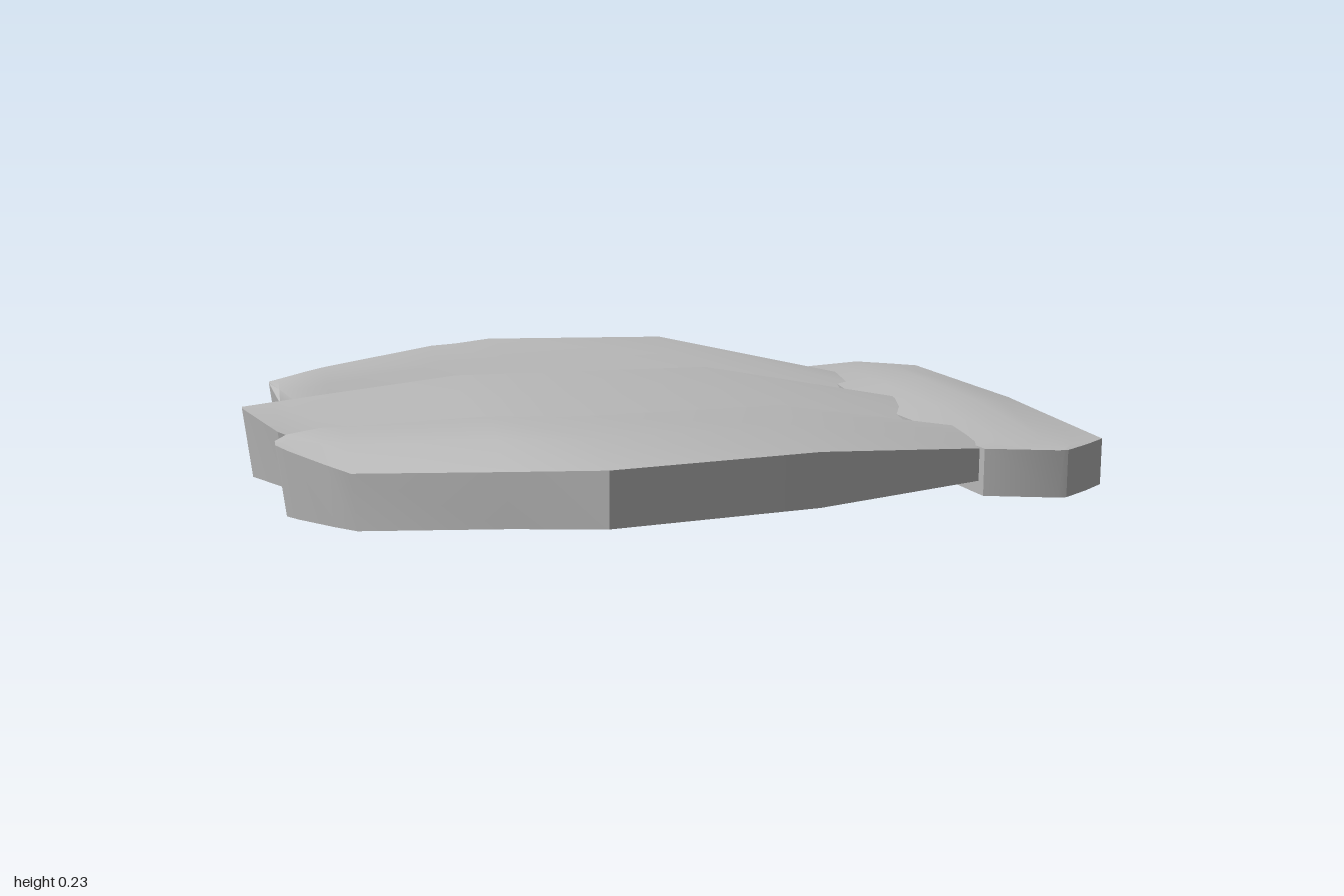
import * as THREE from 'three';
import { toCreasedNormals } from 'three/addons/utils/BufferGeometryUtils.js';

// Loft along x. Each station: [x, zA, zCrest, zB, yA, yCrest, yB, yBottom, bottomShift]
function loft(stations) {
  const pos = [], index = [];
  for (const [x, a, c, b, ya, yc, yb, y0, shift = 0] of stations) {
    // ring: bottom edge, top edge, swelling, crest, swelling, top edge, bottom edge
    pos.push(
      x + shift, y0, a,
      x, ya, a,
      x, ya + (yc - ya) * 0.62, (a + c) / 2,
      x, yc, c,
      x, yb + (yc - yb) * 0.62, (b + c) / 2,
      x, yb, b,
      x + shift, y0, b
    );
  }
  const n = 7, last = (stations.length - 1) * n;
  for (let i = 0; i < last; i += n) {
    for (let j = 0; j < n; j++) {
      const k = (j + 1) % n;
      index.push(i + j, i + k, i + n + k, i + j, i + n + k, i + n + j);
    }
  }
  // end caps
  for (let j = 1; j < n - 1; j++) {
    index.push(0, j + 1, j, last, last + j, last + j + 1);
  }
  const geo = new THREE.BufferGeometry();
  geo.setAttribute('position', new THREE.Float32BufferAttribute(pos, 3));
  geo.setIndex(index);
  return toCreasedNormals(geo, 0.6);
}

// Swap the two long edges so a lobe can be mirrored across z
const mirrorZ = (list) => list.map(([x, a, c, b, ya, yc, yb, ...rest]) =>
  [x, -b, -c, -a, yb, yc, ya, ...rest]);

export function createModel() {
  const group = new THREE.Group();
  const grey = new THREE.MeshStandardMaterial({ color: 0xb8b8b8 });
  grey.name = 'plain grey';

  const add = (name, geo) => {
    const mesh = new THREE.Mesh(geo, grey);
    mesh.name = name;
    group.add(mesh);
  };

  // Central lobe with a pointed tip
  add('middleLobe', loft([
    [-1.0, -0.012, 0, 0.012, 0.174, 0.175, 0.174, 0.004, 0.02],
    [-0.92, -0.185, 0, 0.185, 0.145, 0.185, 0.145, 0.008, 0.02],
    [-0.83, -0.23, 0, 0.23, 0.115, 0.196, 0.115, 0.015, 0.015],
    [-0.48, -0.305, 0, 0.305, 0.14, 0.235, 0.14, 0.048, 0.01],
    [-0.29, -0.32, 0, 0.32, 0.15, 0.235, 0.15, 0.065],
    [0.16, -0.31, 0, 0.31, 0.15, 0.235, 0.15, 0.065],
    [0.67, -0.24, 0, 0.24, 0.105, 0.14, 0.105, 0.045],
  ]));

  // Broad outer lobes, mirrored front and back
  const outer = [
    [-0.93, 0.40, 0.425, 0.45, 0.165, 0.168, 0.165, 0.004, 0.02],
    [-0.905, 0.27, 0.40, 0.495, 0.135, 0.178, 0.16, 0.006, 0.02],
    [-0.83, 0.23, 0.42, 0.605, 0.115, 0.194, 0.148, 0.012, 0.015],
    [-0.78, 0.242, 0.45, 0.67, 0.118, 0.2, 0.14, 0.016, 0.01],
    [-0.48, 0.305, 0.57, 0.85, 0.14, 0.232, 0.167, 0.048, 0.005],
    [-0.29, 0.32, 0.63, 0.965, 0.15, 0.235, 0.185, 0.065],
    [0.18, 0.31, 0.59, 0.88, 0.15, 0.235, 0.185, 0.065],
    [0.66, 0.24, 0.43, 0.615, 0.105, 0.14, 0.12, 0.045],
  ];
  add('frontLobe', loft(outer));
  add('backLobe', loft(mirrorZ(outer)));

  // Cross bar joining the lobes, lofted end to end and turned across them
  const half = [
    [-0.7, 0.81, 0.82, 0.83, 0.125, 0.126, 0.125, 0.015],
    [-0.645, 0.65, 0.82, 0.905, 0.125, 0.128, 0.125, 0.015],
    [-0.59, 0.645, 0.82, 0.97, 0.125, 0.132, 0.125, 0.015],
    [-0.18, 0.615, 0.82, 0.99, 0.125, 0.157, 0.125, 0.015],
  ];
  const otherHalf = half.map(([s, ...rest]) => [-s, ...rest]).reverse();
  const centre = [0, 0.6, 0.82, 1.0, 0.125, 0.158, 0.125, 0.015];
  add('crossBar', loft([...half, centre, ...otherHalf]).rotateY(Math.PI / 2));

  return group;
}
